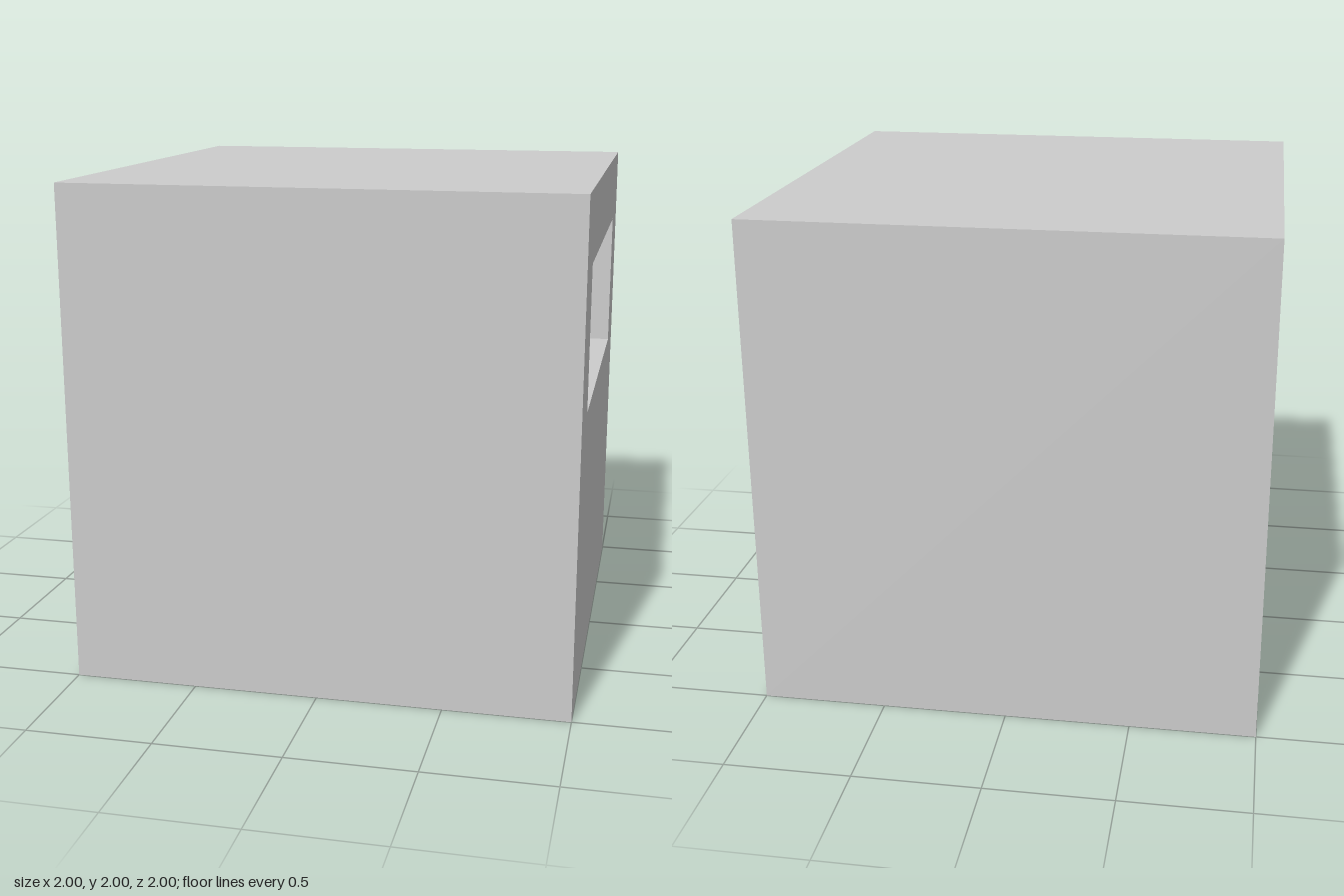
import * as THREE from 'three';

const U = 2 / 7; // wall thickness: the cube is 7 units wide
const SIZE = 7 * U;
const SLOT = { width: 5 * U, height: 2 * U, depth: 6 * U, bottom: 4 * U };

// Box without its +x side; inward = true turns the faces to the inside
function openBox(w, h, d, inward) {
  const geo = new THREE.BoxGeometry(w, h, d);
  const index = Array.from(geo.index.array).slice(6);
  geo.setIndex(inward ? index.reverse() : index);
  geo.computeVertexNormals();
  return geo;
}

function rectangle(path, w, bottom, top) {
  path.moveTo(-w / 2, bottom);
  path.lineTo(w / 2, bottom);
  path.lineTo(w / 2, top);
  path.lineTo(-w / 2, top);
  path.closePath();
  return path;
}

export function createModel() {
  const group = new THREE.Group();
  group.name = 'slottedCube';
  const material = new THREE.MeshStandardMaterial({ color: 0xcccccc, flatShading: true });

  const add = (name, geo) => {
    const mesh = new THREE.Mesh(geo, material);
    mesh.name = name;
    group.add(mesh);
  };

  // Outer shell, closed on five sides
  add('outerShell', openBox(SIZE, SIZE, SIZE, false).translate(0, SIZE / 2, 0));

  // Left face with the rectangular opening
  const face = rectangle(new THREE.Shape(), SIZE, 0, SIZE);
  face.holes.push(rectangle(new THREE.Path(), SLOT.width, SLOT.bottom, SLOT.bottom + SLOT.height));
  add('openingFace', new THREE.ShapeGeometry(face).rotateY(Math.PI / 2).translate(SIZE / 2, 0, 0));

  // Deep recess behind the opening, ending one wall short of the far side
  add('recess', openBox(SLOT.depth, SLOT.height, SLOT.width, true)
    .translate((SIZE - SLOT.depth) / 2, SLOT.bottom + SLOT.height / 2, 0));

  return group;
}
